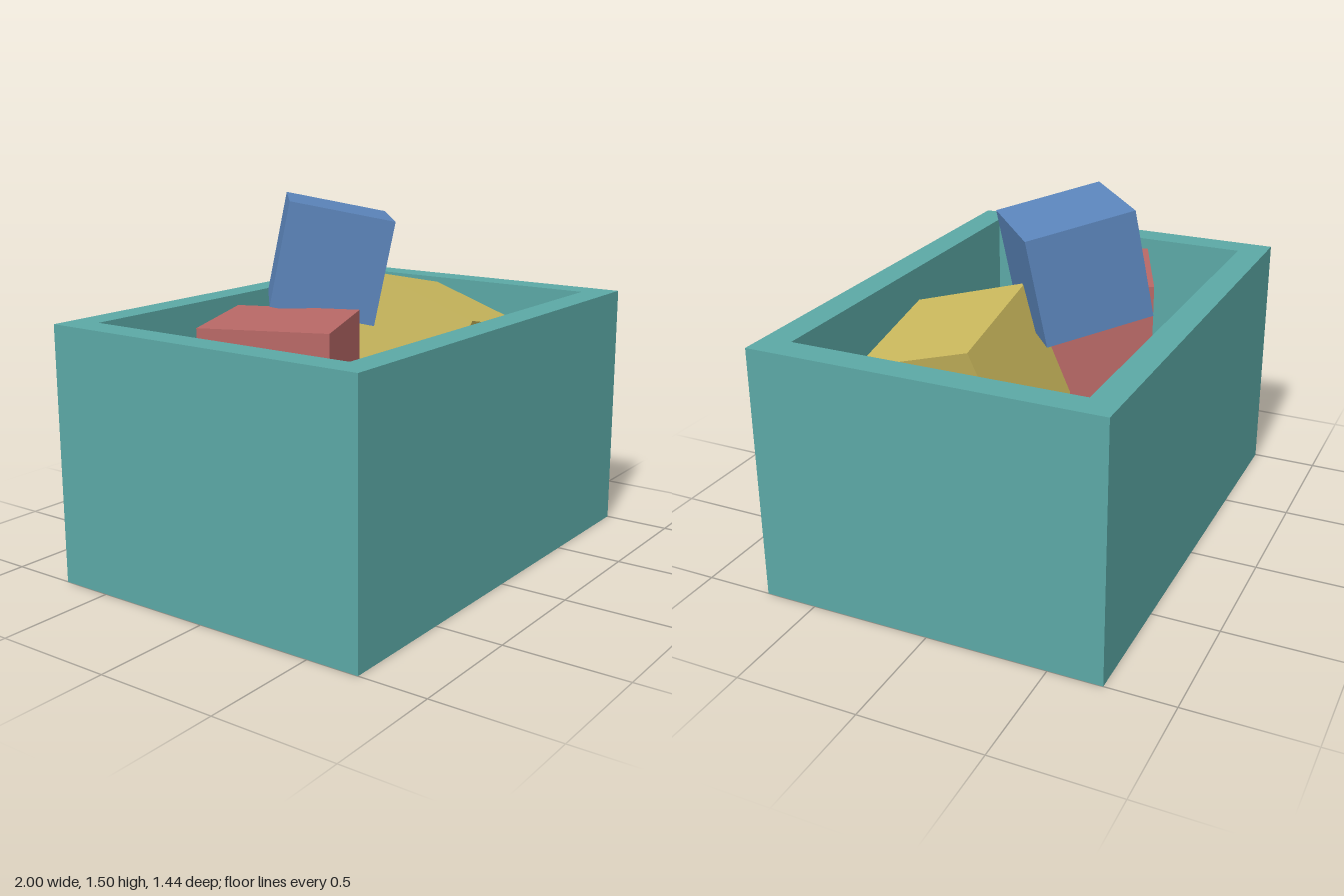
import * as THREE from 'three';

const WIDTH = 2, DEPTH = 1.44, HEIGHT = 1.06, WALL = 0.12;

function material(name, color) {
  const m = new THREE.MeshStandardMaterial({ color });
  m.name = name;
  return m;
}

function part(name, geometry, mat) {
  const mesh = new THREE.Mesh(geometry, mat);
  mesh.name = name;
  return mesh;
}

// Corners of a centred rectangle
function rectangle(w, d) {
  return [[-w, -d], [w, -d], [w, d], [-w, d]].map(([x, y]) => new THREE.Vector2(x / 2, y / 2));
}

// Cube with a centre and a tilt
function block(name, size, position, rotation, mat) {
  const mesh = part(name, new THREE.BoxGeometry(size, size, size), mat);
  mesh.position.set(...position);
  mesh.rotation.set(...rotation);
  return mesh;
}

export function createModel() {
  const group = new THREE.Group();
  group.name = 'toyBox';
  const teal = material('teal', 0x5ba8a5);
  const red = material('red', 0xb86866);
  const yellow = material('yellow', 0xc9b75c);
  const blue = material('blue', 0x5b85bb);

  // Open box: a ring of walls around a floor
  const innerW = WIDTH - 2 * WALL, innerD = DEPTH - 2 * WALL;
  const outline = new THREE.Shape(rectangle(WIDTH, DEPTH));
  outline.holes.push(new THREE.Path(rectangle(innerW, innerD)));
  const walls = new THREE.ExtrudeGeometry(outline, { depth: HEIGHT, bevelEnabled: false });
  walls.rotateX(-Math.PI / 2);
  group.add(part('walls', walls, teal));

  const floor = new THREE.BoxGeometry(innerW, WALL, innerD);
  floor.translate(0, WALL / 2, 0);
  group.add(part('floor', floor, teal));

  // Toy blocks piled inside
  group.add(
    block('redBlock', 0.52, [-0.4, 0.8, -0.08], [0, 0.4, 0], red),
    block('yellowBlock', 0.52, [0.4, 0.8, 0.12], [0.3, -0.05, -0.2], yellow),
    block('blueBlock', 0.44, [0.08, 1.24, -0.2], [0.2, 0.7, 0, 'YXZ'], blue),
  );
  return group;
}
